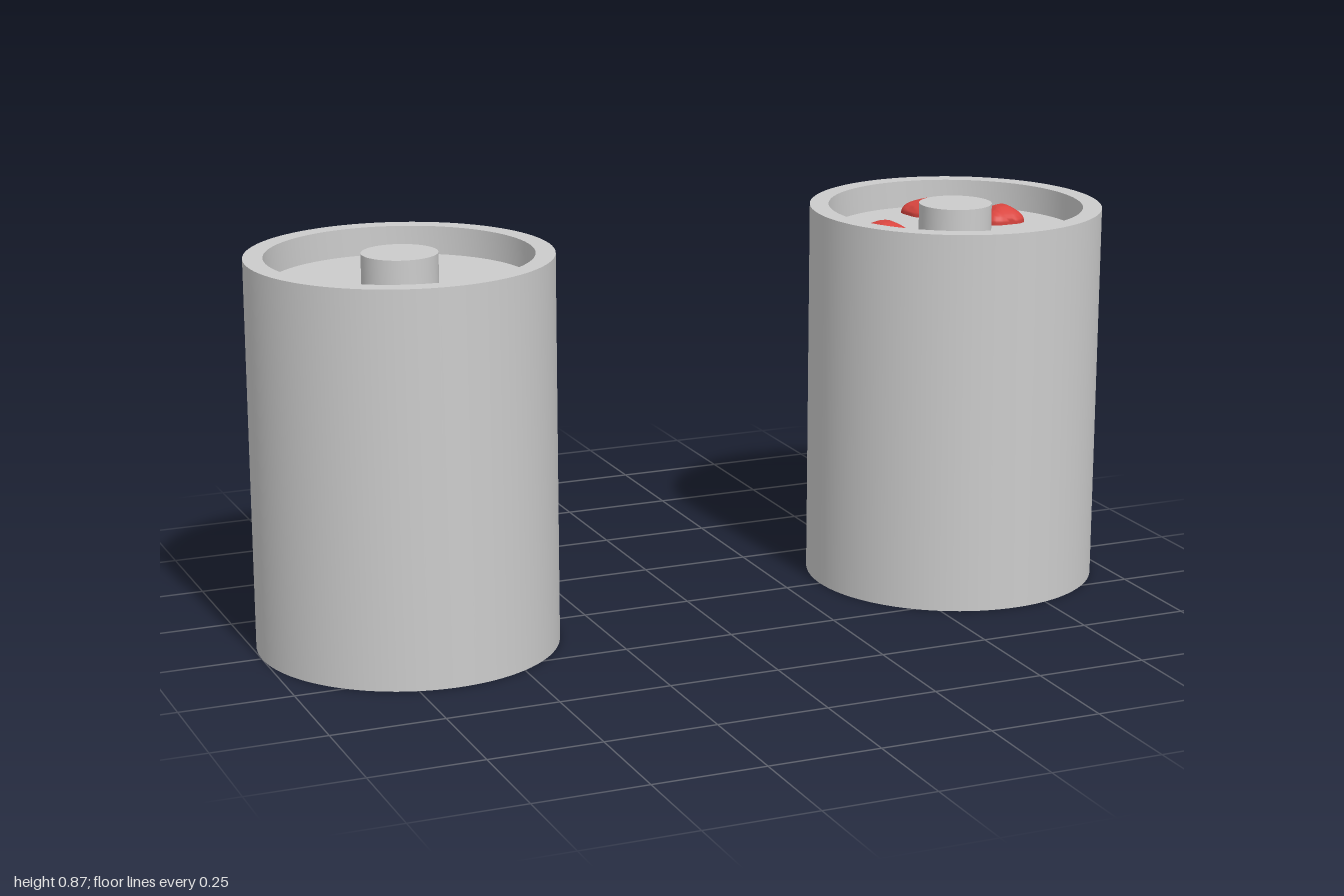
import * as THREE from 'three';
import { toCreasedNormals } from 'three/addons/utils/BufferGeometryUtils.js';

const FLOOR = 0.805;
const grey = new THREE.MeshStandardMaterial({ color: 0xcccccc });
const red = new THREE.MeshStandardMaterial({ color: 0xd9453f });

function addMesh(parent, name, geometry, material) {
  const mesh = new THREE.Mesh(geometry, material);
  mesh.name = name;
  parent.add(mesh);
  return mesh;
}

// Solid cylinder with a raised rim around a shallow recess, and a central knob
function makeDrum(name, x, z) {
  const drum = new THREE.Group();
  drum.name = name;
  drum.position.set(x, 0, z);
  const profile = [[0, 0], [0.333, 0], [0.333, 0.868], [0.29, 0.868], [0.29, FLOOR], [0, FLOOR]]
    .map(([r, y]) => new THREE.Vector2(r, y));
  addMesh(drum, 'body', toCreasedNormals(new THREE.LatheGeometry(profile, 96), 0.6), grey);
  const knobHeight = 0.872 - FLOOR;
  addMesh(drum, 'knob', new THREE.CylinderGeometry(0.083, 0.083, knobHeight, 64), grey)
    .position.y = FLOOR + knobHeight / 2;
  return drum;
}

// Lumpy pebble: a flattened sphere whose plan follows eight radii, from +x round towards +z
function makePebble(radii, height) {
  const geometry = new THREE.SphereGeometry(1, 40, 20);
  const pos = geometry.attributes.position;
  for (let i = 0; i < pos.count; i++) {
    const x = pos.getX(i), y = pos.getY(i), z = pos.getZ(i);
    const turn = ((Math.atan2(z, x) / (Math.PI * 2) + 1) % 1) * 8;
    const k = Math.floor(turn) % 8;
    const t = THREE.MathUtils.smoothstep(turn - Math.floor(turn), 0, 1);
    const r = THREE.MathUtils.lerp(radii[k], radii[(k + 1) % 8], t);
    const lump = 1 + 0.1 * Math.sin(4 * x + 1) * Math.cos(3 * z);
    pos.setXYZ(i, x * r, y * height * lump, z * r);
  }
  geometry.computeVertexNormals();
  return toCreasedNormals(geometry, 1.2);
}

export function createModel() {
  const model = new THREE.Group();
  model.name = 'drumPair';
  model.add(makeDrum('rightDrum', -0.667, 0.002), makeDrum('leftDrum', 0.667, -0.002));

  // Pebbles half sunk in the recess of the left drum
  const pebbles = [
    [0.70, -0.20, [0.06, 0.067, 0.045, 0.05, 0.05, 0.067, 0.06, 0.055]],
    [0.82, -0.07, [0.055, 0.057, 0.05, 0.06, 0.045, 0.05, 0.055, 0.064]],
    [0.493, -0.013, [0.052, 0.065, 0.062, 0.055, 0.052, 0.058, 0.065, 0.055]],
  ];
  pebbles.forEach(([x, z, radii], i) => {
    addMesh(model, `pebble${i + 1}`, makePebble(radii, 0.035), red).position.set(x, FLOOR, z);
  });
  return model;
}
